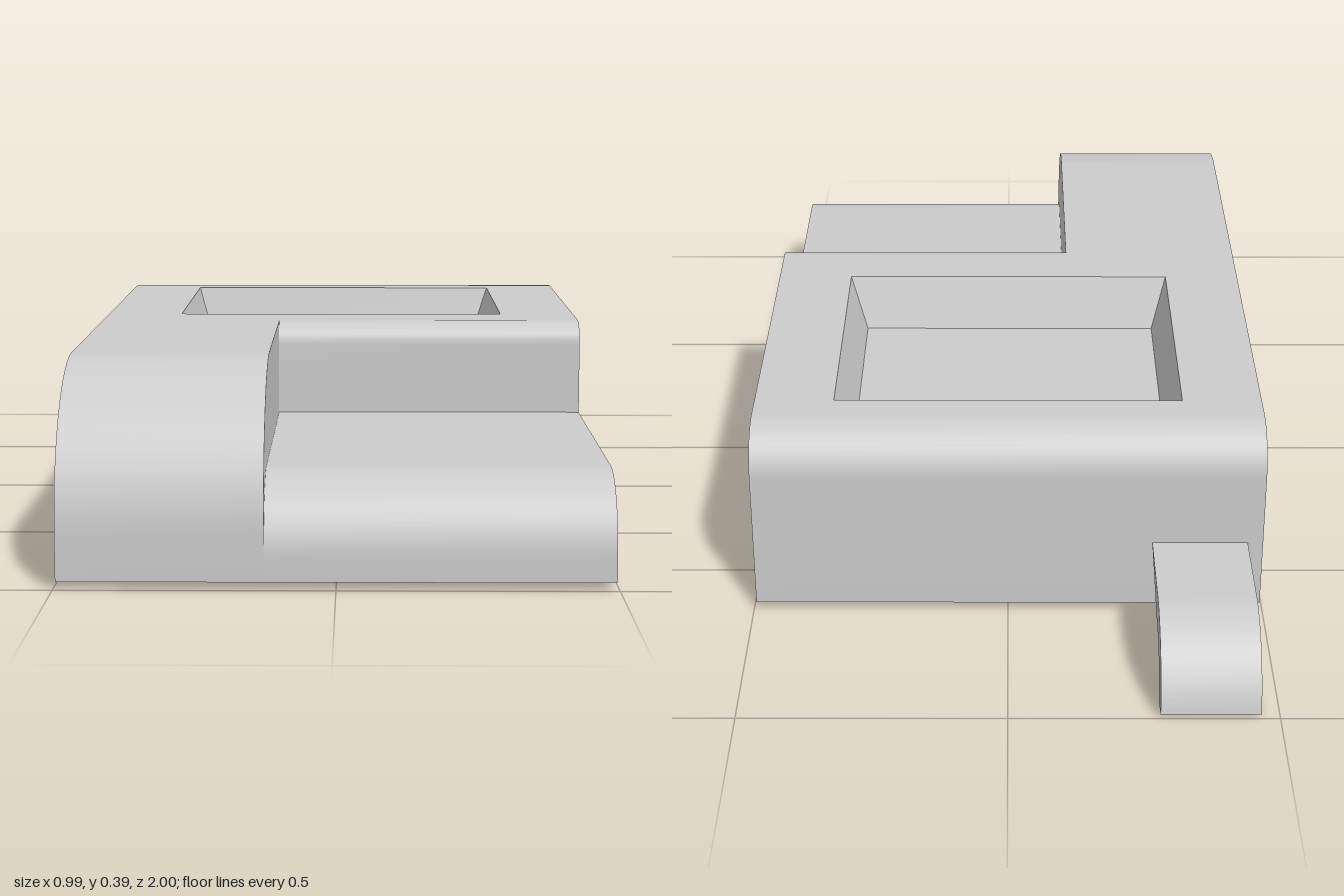
import * as THREE from 'three';
import { toCreasedNormals, mergeGeometries } from 'three/addons/utils/BufferGeometryUtils.js';

const material = new THREE.MeshStandardMaterial({ color: 0xcccccc });
const BASE = 0.016, TOP = 0.387, STEP = 0.2;
const LEFT = 0.495, RIGHT = -0.495, SPLIT = -0.127;
const BACK = -0.64, BACK_R = 0.09;

// Points [z, y] along an arc, angles in degrees measured from +z
function arc(z, y, r, from, to, n = 16) {
  return Array.from({ length: n + 1 }, (_, i) => {
    const a = THREE.MathUtils.degToRad(from + (to - from) * i / n);
    return [z + r * Math.cos(a), y + r * Math.sin(a)];
  });
}

// Triangles from a list of four-cornered faces
function quads(list) {
  const pos = [];
  for (const [a, b, c, d] of list) pos.push(...a, ...b, ...c, ...a, ...c, ...d);
  const g = new THREE.BufferGeometry();
  g.setAttribute('position', new THREE.Float32BufferAttribute(pos, 3));
  return toCreasedNormals(g, 0.5);
}

// Skin sweeping a [z, y] line between two x positions
function strip(line, x0, x1) {
  return quads(line.slice(1).map(([z1, y1], i) => {
    const [z0, y0] = line[i];
    return [[x0, y0, z0], [x1, y0, z0], [x1, y1, z1], [x0, y1, z1]];
  }));
}

// Flat side face with a [z, y] outline, facing +x (dir 1) or -x (dir -1)
function sideFace(outline, x, dir) {
  const shape = new THREE.Shape(outline.map(([z, y]) => new THREE.Vector2(-dir * z, y)));
  return new THREE.ShapeGeometry(shape).rotateY(dir * Math.PI / 2).translate(x, 0, 0);
}

export function createModel() {
  const group = new THREE.Group();
  const add = (name, geometry) => {
    const mesh = new THREE.Mesh(geometry, material);
    mesh.name = name;
    group.add(mesh);
  };

  // Profile lines, running from the bottom front up and back
  const tallNose = [[1, BASE], ...arc(0.71, TOP - 0.29, 0.29, 0, 90, 24)];
  const lowNose = [[1, BASE], ...arc(0.86, STEP - 0.14, 0.14, 0, 90)];
  const riser = [[0.23, STEP], ...arc(0.185, TOP - 0.045, 0.045, 0, 90, 10)];
  const rear = [...arc(BACK + BACK_R, TOP - BACK_R, BACK_R, 90, 180, 12), [BACK, BASE]];
  const lowLine = [...lowNose, ...riser];

  add('tallNose', strip(tallNose, RIGHT, SPLIT));
  add('lowDeck', strip(lowLine, SPLIT, LEFT));
  add('rear', strip(rear, RIGHT, LEFT));
  add('underside', strip([[BACK, BASE], [1, BASE]], RIGHT, LEFT));

  // Side walls, and the inner wall between the tall nose and the low deck
  add('rightSide', sideFace([...tallNose, ...rear], RIGHT, -1));
  add('leftSide', sideFace([...lowLine, ...rear], LEFT, 1));
  add('innerWall', sideFace([...tallNose.slice(1), ...lowLine.slice(1).reverse()], SPLIT, 1));

  // L-shaped top with a rectangular opening
  const outer = [[-0.34, -0.49], [-0.34, 0.07], [0.34, 0.07], [0.34, -0.49]];
  const inner = [[-0.31, -0.465], [-0.31, 0.03], [0.305, 0.03], [0.305, -0.465]];
  const flat = ([x, z]) => new THREE.Vector2(x, -z);
  const zBack = BACK + BACK_R;
  const top = new THREE.Shape([[RIGHT, zBack], [RIGHT, 0.71], [SPLIT, 0.71],
    [SPLIT, 0.185], [LEFT, 0.185], [LEFT, zBack]].map(flat));
  top.holes.push(new THREE.Path(outer.map(flat)));
  add('topFace', new THREE.ShapeGeometry(top).rotateX(-Math.PI / 2));
  group.children.at(-1).position.y = TOP;

  // Sunken panel with sloping walls
  const rim = outer.map(([x, z]) => [x, TOP, z]);
  const floor = inner.map(([x, z]) => [x, TOP - 0.105, z]);
  const walls = rim.map((p, i) => {
    const j = (i + 1) % 4;
    return [p, rim[j], floor[j], floor[i]];
  });
  add('recess', mergeGeometries([quads(walls), quads([floor])]));

  // Curved hook at the back
  const tip = THREE.MathUtils.degToRad(10);
  const hook = new THREE.Shape();
  hook.moveTo(-BACK, 0.1);
  hook.absarc(0.828, -0.02, 0.12, Math.PI / 2, tip, true);
  hook.absarc(0.828, -0.02, 0.175, tip, Math.PI / 2, false);
  hook.lineTo(-BACK, 0.155);
  const hookGeometry = new THREE.ExtrudeGeometry(hook, { depth: 0.185, bevelEnabled: false, curveSegments: 16 });
  add('rearHook', toCreasedNormals(hookGeometry.rotateY(Math.PI / 2).translate(-0.465, 0, 0), 0.5));

  return group;
}
